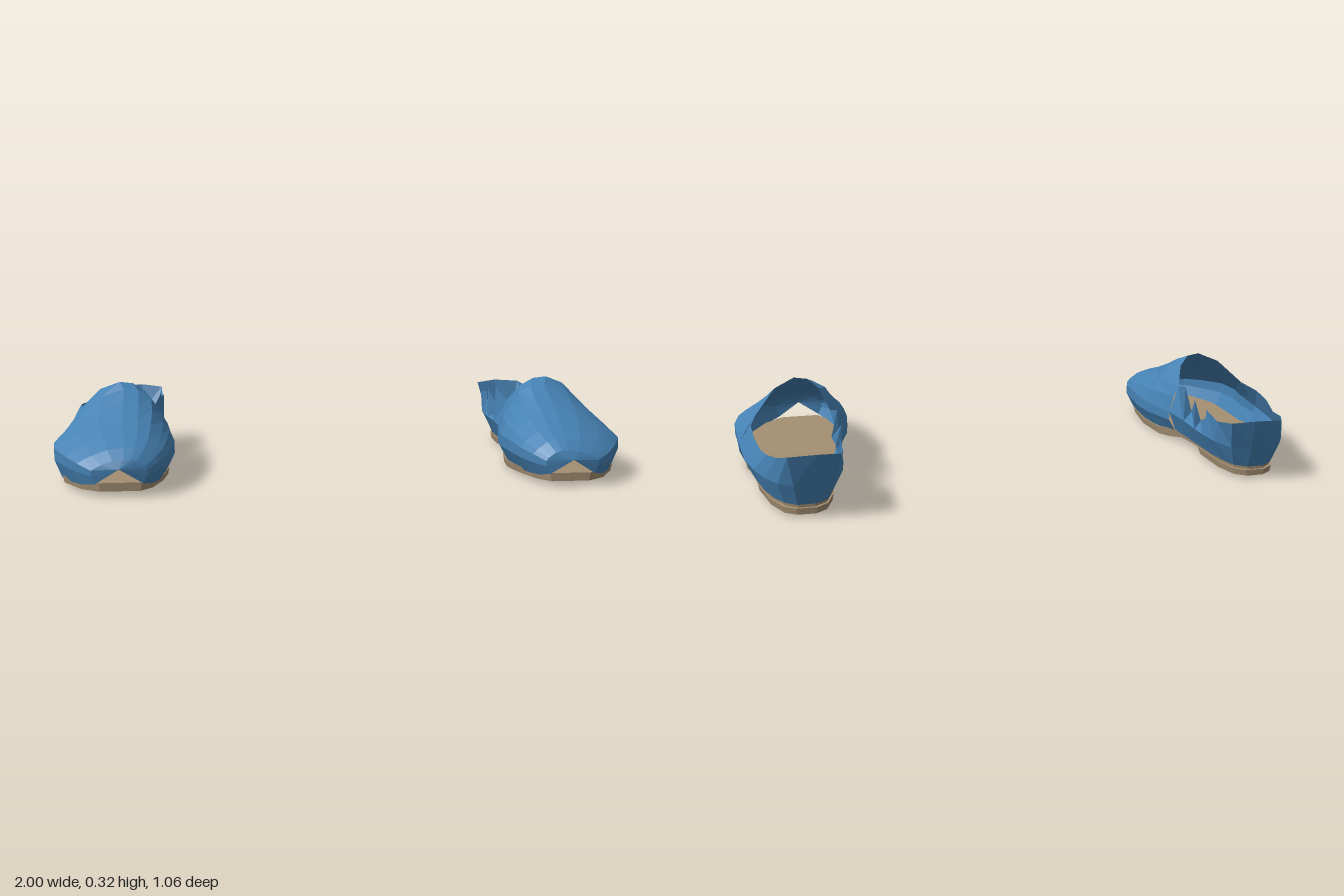
import * as THREE from 'three';

const blue = new THREE.MeshStandardMaterial({ color: 0x4682b4, flatShading: true, side: THREE.DoubleSide });
blue.name = 'blue upper';
const tan = new THREE.MeshStandardMaterial({ color: 0xa48f72, flatShading: true, side: THREE.DoubleSide });
tan.name = 'tan sole';

// Skin a list of equal-length point rows; side is 1 for the left shoe, -1 for its mirror
function skin(name, rows, material, side) {
  const pos = [];
  const tri = (a, b, c) => {
    const [A, B, C] = [a, b, c].map(p => new THREE.Vector3(...p));
    if (B.clone().sub(A).cross(C.clone().sub(A)).length() < 1e-7) return;
    for (const p of side > 0 ? [a, b, c] : [a, c, b]) pos.push(side * p[0], p[1], p[2]);
  };
  for (let i = 0; i < rows.length - 1; i++) {
    for (let j = 0; j < rows[i].length - 1; j++) {
      tri(rows[i][j], rows[i + 1][j], rows[i + 1][j + 1]);
      tri(rows[i][j], rows[i + 1][j + 1], rows[i][j + 1]);
    }
  }
  const g = new THREE.BufferGeometry();
  g.setAttribute('position', new THREE.Float32BufferAttribute(pos, 3));
  g.computeVertexNormals();
  const mesh = new THREE.Mesh(g, material);
  mesh.name = name;
  return mesh;
}

// Vamp cross-section: fraction across, fraction of height above the side line (-1 = bottom edge)
const ARCH = [[0.08, -1], [0, -0.4], [0, 0], [0.04, 0.3], [0.09, 0.5], [0.18, 0.82], [0.29, 0.97],
  [0.42, 1], [0.62, 0.86], [0.82, 0.5], [0.93, 0.22], [1, 0], [1, -0.4], [0.94, -1]];
// z, inner x, outer x, bottom y, side y, top y
const VAMP = [
  [-0.02, 0.63, 0.985, 0.04, 0.12, 0.32],
  [0.12, 0.595, 0.993, 0.025, 0.12, 0.298],
  [0.2, 0.585, 1.0, 0.02, 0.125, 0.258],
  [0.3, 0.588, 0.985, 0.025, 0.125, 0.217],
  [0.4, 0.603, 0.935, 0.03, 0.115, 0.182],
  [0.47, 0.628, 0.89, 0.035, 0.105, 0.155],
  [0.515, 0.66, 0.84, 0.045, 0.09, 0.125]];

function vampRows() {
  const rows = VAMP.map(([z, xi, xo, yb, ym, yt], i) => ARCH.map(([u, h]) => [
    xi + (xo - xi) * u,
    h < 0 ? ym + h * (ym - yb) : ym + h * (yt - ym),
    // the back edge sweeps forward to its peak
    z + (i === 0 ? 0.2 * Math.max(0, h - 0.5) : 0)]));
  rows.push(ARCH.map(() => [0.75, 0.095, 0.53])); // toe cap
  return rows;
}

// Wall stations around the heel: bottom x, z; middle x, z; rim x, z, y
const WALL = [
  [0.965, -0.02, 0.985, -0.02, 0.922, -0.02, 0.22],
  [0.95, -0.12, 0.977, -0.12, 0.94, -0.12, 0.212],
  [0.93, -0.22, 0.965, -0.22, 0.932, -0.22, 0.204],
  [0.91, -0.31, 0.94, -0.31, 0.915, -0.31, 0.188],
  [0.88, -0.39, 0.908, -0.4, 0.895, -0.41, 0.202],
  [0.85, -0.44, 0.868, -0.465, 0.865, -0.475, 0.21],
  [0.81, -0.47, 0.82, -0.5, 0.835, -0.52, 0.225],
  [0.75, -0.47, 0.745, -0.5, 0.74, -0.53, 0.23],
  [0.71, -0.44, 0.685, -0.47, 0.662, -0.51, 0.222],
  [0.69, -0.37, 0.655, -0.39, 0.653, -0.41, 0.2],
  // torn, saw-toothed inner rim
  [0.68, -0.31, 0.645, -0.31, 0.655, -0.31, 0.212],
  [0.68, -0.305, 0.645, -0.305, 0.655, -0.305, 0.18],
  [0.675, -0.24, 0.642, -0.24, 0.665, -0.24, 0.15],
  [0.675, -0.235, 0.642, -0.235, 0.64, -0.235, 0.23],
  [0.67, -0.14, 0.64, -0.14, 0.67, -0.14, 0.155],
  [0.67, -0.135, 0.64, -0.13, 0.645, -0.13, 0.25],
  [0.658, -0.02, 0.63, -0.02, 0.662, -0.02, 0.22]];

const wallRows = () => WALL.map(([bx, bz, mx, mz, rx, rz, ry]) =>
  [[bx, 0.045, bz], [mx, 0.12, mz], [rx, ry, rz]]);

// Closed slab from sections of z, inner x, outer x, bottom y, top y
function slabRows(sections) {
  const rows = sections.map(([z, xi, xo, y0, y1]) =>
    [[xo, y1, z], [xi, y1, z], [xi + 0.005, y0, z], [xo - 0.005, y0, z], [xo, y1, z]]);
  const cap = ([z, xi, xo, y0, y1]) => Array(5).fill([(xi + xo) / 2, (y0 + y1) / 2, z]);
  return [cap(sections[0]), ...rows, cap(sections[sections.length - 1])];
}

const SOLE = [
  [0.5, 0.68, 0.82, 0.017, 0.045],
  [0.45, 0.645, 0.885, 0.016, 0.042],
  [0.33, 0.615, 0.955, 0.013, 0.037],
  [0.2, 0.605, 0.97, 0.007, 0.032],
  [0.08, 0.625, 0.97, 0.002, 0.032],
  [0.02, 0.645, 0.968, 0.008, 0.042],
  [-0.06, 0.665, 0.957, 0.027, 0.053],
  [-0.2, 0.675, 0.935, 0.034, 0.056],
  [-0.36, 0.685, 0.895, 0.035, 0.056],
  [-0.44, 0.71, 0.85, 0.035, 0.056],
  [-0.47, 0.75, 0.81, 0.035, 0.054]];
const HEEL = [
  [-0.19, 0.68, 0.93, 0.018, 0.036],
  [-0.22, 0.675, 0.93, 0.012, 0.036],
  [-0.36, 0.685, 0.895, 0.01, 0.034],
  [-0.44, 0.71, 0.855, 0.01, 0.032],
  [-0.47, 0.745, 0.815, 0.011, 0.032]];

function makeShoe(name, side) {
  const shoe = new THREE.Group();
  shoe.name = name;
  shoe.add(
    skin('vamp', vampRows(), blue, side),
    skin('heelWall', wallRows(), blue, side),
    skin('sole', slabRows(SOLE), tan, side),
    skin('heelBlock', slabRows(HEEL), tan, side));
  return shoe;
}

export function createModel() {
  const model = new THREE.Group();
  model.name = 'pairOfShoes';
  model.add(makeShoe('leftShoe', 1), makeShoe('rightShoe', -1));
  return model;
}
